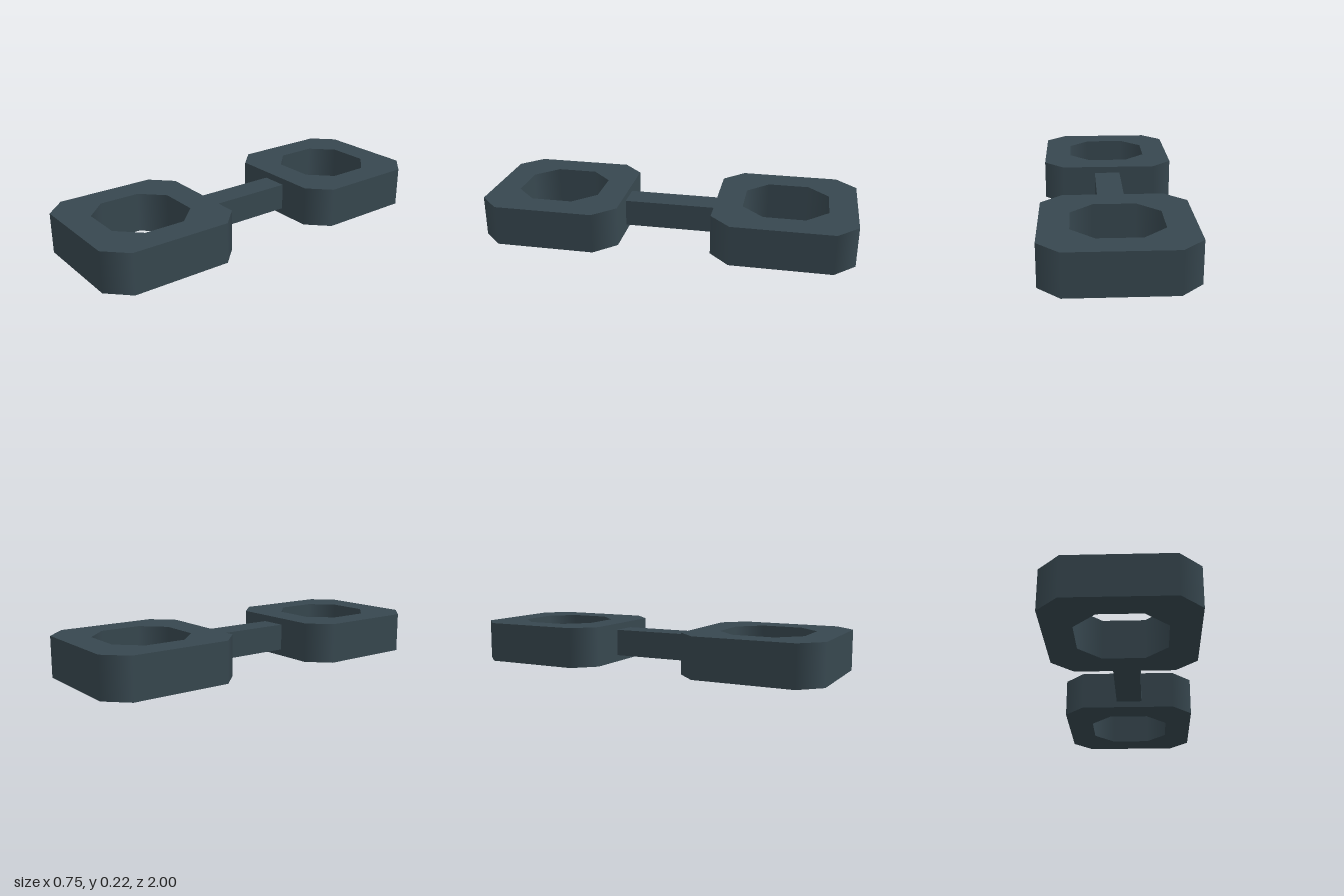
import * as THREE from 'three';

const HEIGHT = 0.217;
const OUTER = { half: 0.375, flat: 0.265 };
const INNER = { half: 0.225, flat: 0.11 };

// Corners of a square with cut corners
function cutSquare({ half: h, flat: f }) {
  return [[h, -f], [h, f], [f, h], [-f, h], [-h, f], [-h, -f], [-f, -h], [f, -h]]
    .map(([x, y]) => new THREE.Vector2(x, y));
}

// Pierced block: the cut corners are shaded as rounds between the flat walls
function blockGeometry() {
  const shape = new THREE.Shape(cutSquare(OUTER));
  shape.holes.push(new THREE.Path(cutSquare(INNER).reverse()));
  const geo = new THREE.ExtrudeGeometry(shape, { depth: HEIGHT, bevelEnabled: false });
  const pos = geo.attributes.position, nor = geo.attributes.normal;
  for (let i = 0; i < pos.count; i++) {
    if (Math.abs(nor.getZ(i)) > 0.5) continue;
    const x = pos.getX(i), y = pos.getY(i);
    const outward = Math.max(Math.abs(x), Math.abs(y)) > 0.3 ? 1 : -1;
    if (Math.abs(x) > Math.abs(y)) nor.setXYZ(i, Math.sign(x) * outward, 0, 0);
    else nor.setXYZ(i, 0, Math.sign(y) * outward, 0);
  }
  return geo.rotateX(-Math.PI / 2);
}

export function createModel() {
  const model = new THREE.Group();
  model.name = 'linkedBlocks';
  const slate = new THREE.MeshStandardMaterial({ color: 0x37474f });
  slate.name = 'dark slate';

  // Front and back blocks
  const geo = blockGeometry();
  for (const [name, z] of [['frontBlock', 0.625], ['backBlock', -0.625]]) {
    const block = new THREE.Mesh(geo, slate);
    block.name = name;
    block.position.z = z;
    model.add(block);
  }

  // Connecting bar, slightly off centre
  const bar = new THREE.Mesh(new THREE.BoxGeometry(0.145, 0.145, 0.5), slate);
  bar.name = 'connectingBar';
  bar.position.set(0.0075, 0.1085, 0);
  model.add(bar);

  return model;
}
